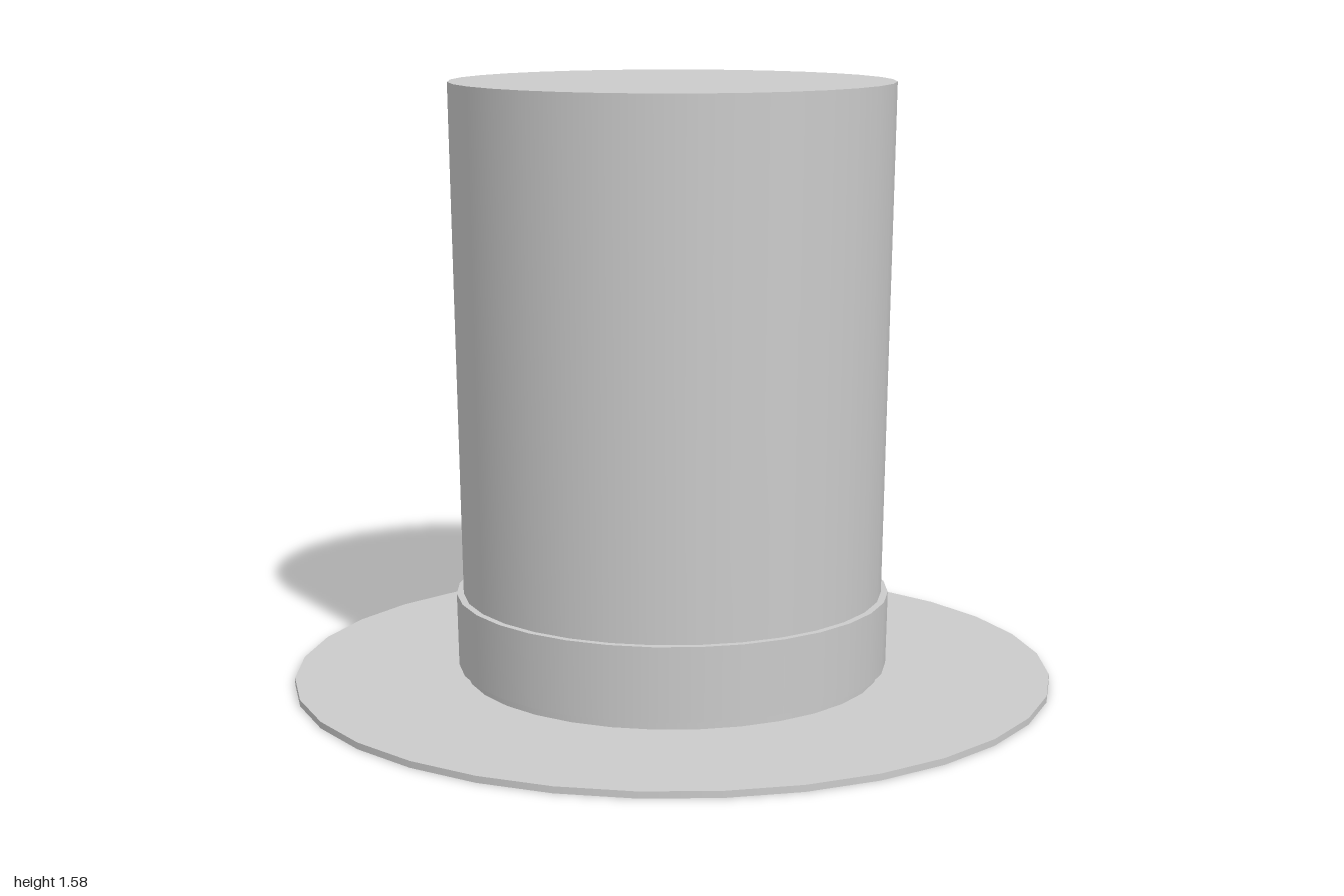
import * as THREE from 'three';
import { mergeGeometries } from 'three/addons/utils/BufferGeometryUtils.js';

const SIDES = 32;
const material = new THREE.MeshStandardMaterial({ color: 0xcccccc });

// Revolves a profile [radius, height], smooth around the axis and sharp at each profile corner.
// Profiles run up the outside, so the faces point outward.
function turned(name, profile) {
  const bands = [];
  for (let i = 0; i < profile.length - 1; i++) {
    const ends = [profile[i], profile[i + 1]].map(([r, y]) => new THREE.Vector2(r, y));
    bands.push(new THREE.LatheGeometry(ends, SIDES));
  }
  const mesh = new THREE.Mesh(mergeGeometries(bands), material);
  mesh.name = name;
  return mesh;
}

export function createModel() {
  const hat = new THREE.Group();
  hat.name = 'topHat';

  // Thin flat brim with the head opening
  hat.add(turned('brim', [[0.46, 0], [1, 0], [1, 0.017], [0.46, 0.017], [0.46, 0]]));

  // Hollow crown, flaring slightly toward its flat top
  hat.add(turned('crown', [
    [0.46, 0.017], [0.55, 0.017], [0.577, 1.575], [0, 1.575],
  ]));
  hat.add(turned('crownLining', [[0, 1.48], [0.485, 1.48], [0.46, 0.017]]));

  // Raised band just above the brim
  hat.add(turned('hatBand', [
    [0.545, 0.04], [0.568, 0.04], [0.572, 0.233], [0.545, 0.233],
  ]));

  return hat;
}
